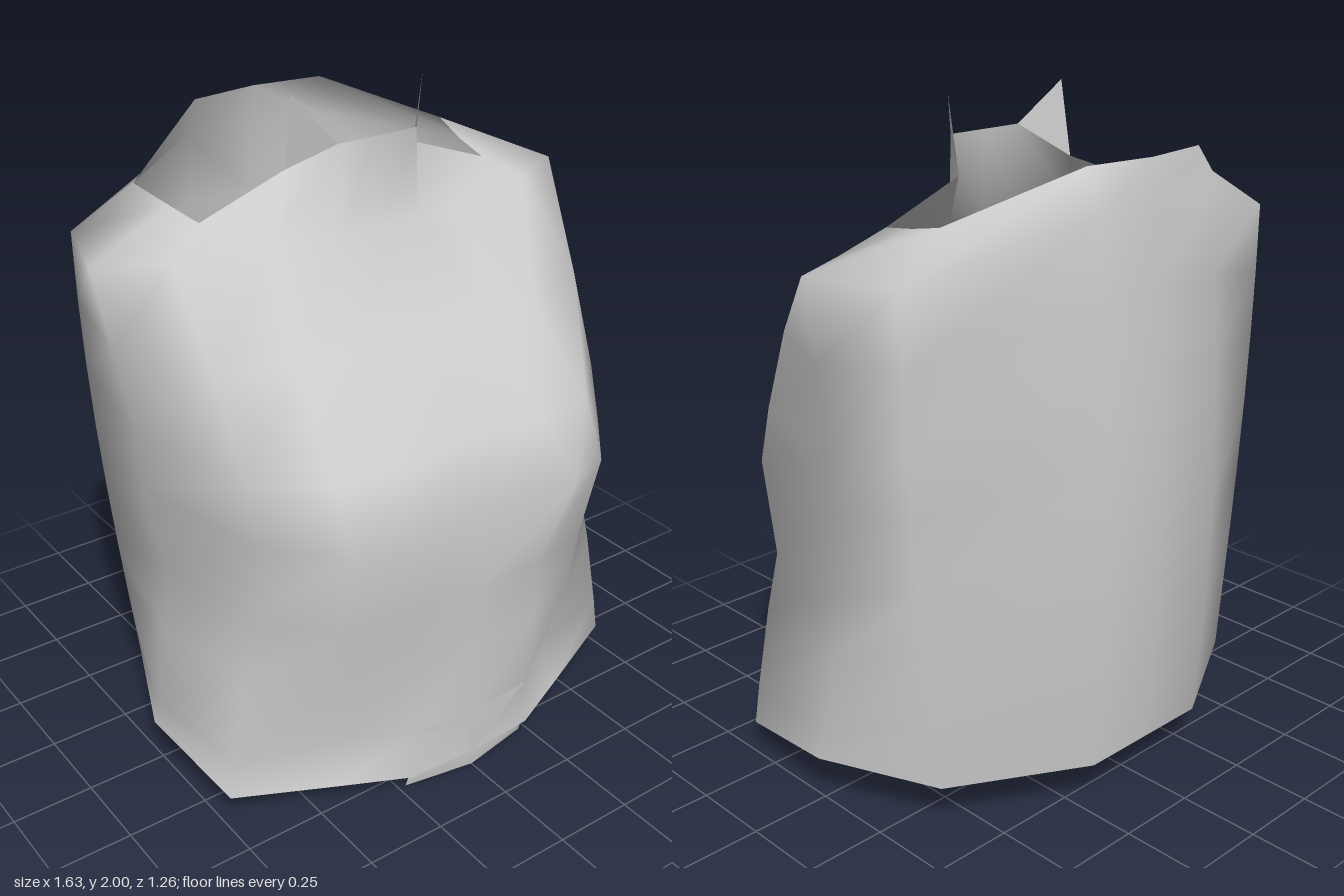
import * as THREE from 'three';

const cloth = new THREE.MeshStandardMaterial({ color: 0xcccccc, side: THREE.DoubleSide });
cloth.name = 'pale grey cloth';

// Front outline at each height: y, centre z, then x and z of three points, then side x
const fronts = [
  [.05, .59, .225, .58, .42, .5, .73, .37, .77],
  [.2, .585, .225, .57, .36, .47, .71, .37, .75],
  [.46, .59, .225, .59, .42, .53, .665, .36, .71],
  [.64, .585, .225, .59, .45, .53, .635, .34, .68],
  [.92, .59, .32, .635, .46, .59, .63, .4, .725],
  [1.1, .52, .25, .55, .45, .52, .63, .35, .73],
  [1.36, .31, .22, .32, .42, .3, .64, .24, .775],
  [1.61, .1, .135, .1, .33, .05, .62, .01, .815],
];

// Neck opening from front centre to back centre
const neck = [
  [0, 1.87, .09], [.135, 1.87, .09], [.225, 1.78, -.04], [.5, 1.68, -.05],
  [.52, 1.7, -.18], [.55, 1.73, -.32], [.225, 1.87, -.52], [0, 1.87, -.55],
];

const flip = ([x, y, z]) => [-x, y, z];
const mirrorLoop = half => [...half, ...half.slice(1, -1).reverse().map(flip)];

// One half cross-section; the hem rises toward the sides and the back bows gently
function halfSection([y, z0, x1, z1, x2, z2, x3, z3, x4], row) {
  const t = row / (fronts.length - 1);
  const rise = z => y + (row === 0 ? .15 * (.59 - z) : 0);
  const sideZ = -.055 * y;
  const backY = .14 + 1.61 * t;
  const backZ = -.59 - .045 * Math.sin(Math.PI * t) + .015 * t;
  return [
    [0, y, z0], [x1, rise(z1), z1], [x2, rise(z2), z2], [x3, rise(z3), z3], [x4, rise(sideZ), sideZ],
    [.62 + .11 * Math.sin(t * Math.PI / 2), .14 + 1.47 * t, -.37],
    [.225, backY, backZ], [0, backY, backZ + .01 * t],
  ];
}

function makeMesh(name, points, index) {
  const geometry = new THREE.BufferGeometry();
  geometry.setAttribute('position', new THREE.Float32BufferAttribute(points.flat(), 3));
  geometry.setIndex(index);
  geometry.computeVertexNormals();
  const mesh = new THREE.Mesh(geometry, cloth);
  mesh.name = name;
  return mesh;
}

// Joins rows of points into a smooth skin
function skin(name, grid, closed) {
  const n = grid[0].length, index = [];
  for (let r = 0; r < grid.length - 1; r++) {
    for (let c = 0; c < (closed ? n : n - 1); c++) {
      const a = r * n + c, b = r * n + (c + 1) % n;
      index.push(a, b, b + n, a, b + n, a + n);
    }
  }
  return makeMesh(name, grid.flat(), index);
}

export function createModel() {
  const group = new THREE.Group();
  group.name = 'torsoGarment';

  // Body shell, open at hem and neck
  const halves = [...fronts.map(halfSection), neck];
  group.add(skin('bodyShell', halves.map(mirrorLoop), true));

  // Short tab below the front hem
  group.add(skin('frontTab', [
    [[-.225, 0, .55], [0, 0, .59], [.225, 0, .55]],
    [[-.225, .05, .565], [0, .05, .59], [.225, .05, .565]],
    [[-.225, .2, .57], [0, .2, .588], [.225, .2, .57]],
  ], false));

  // Pointed collar tips
  const tip = [neck[1], neck[2], [.225, 2, 0]];
  group.add(makeMesh('leftCollarTip', tip, [0, 1, 2]));
  group.add(makeMesh('rightCollarTip', tip.map(flip), [0, 2, 1]));
  return group;
}
